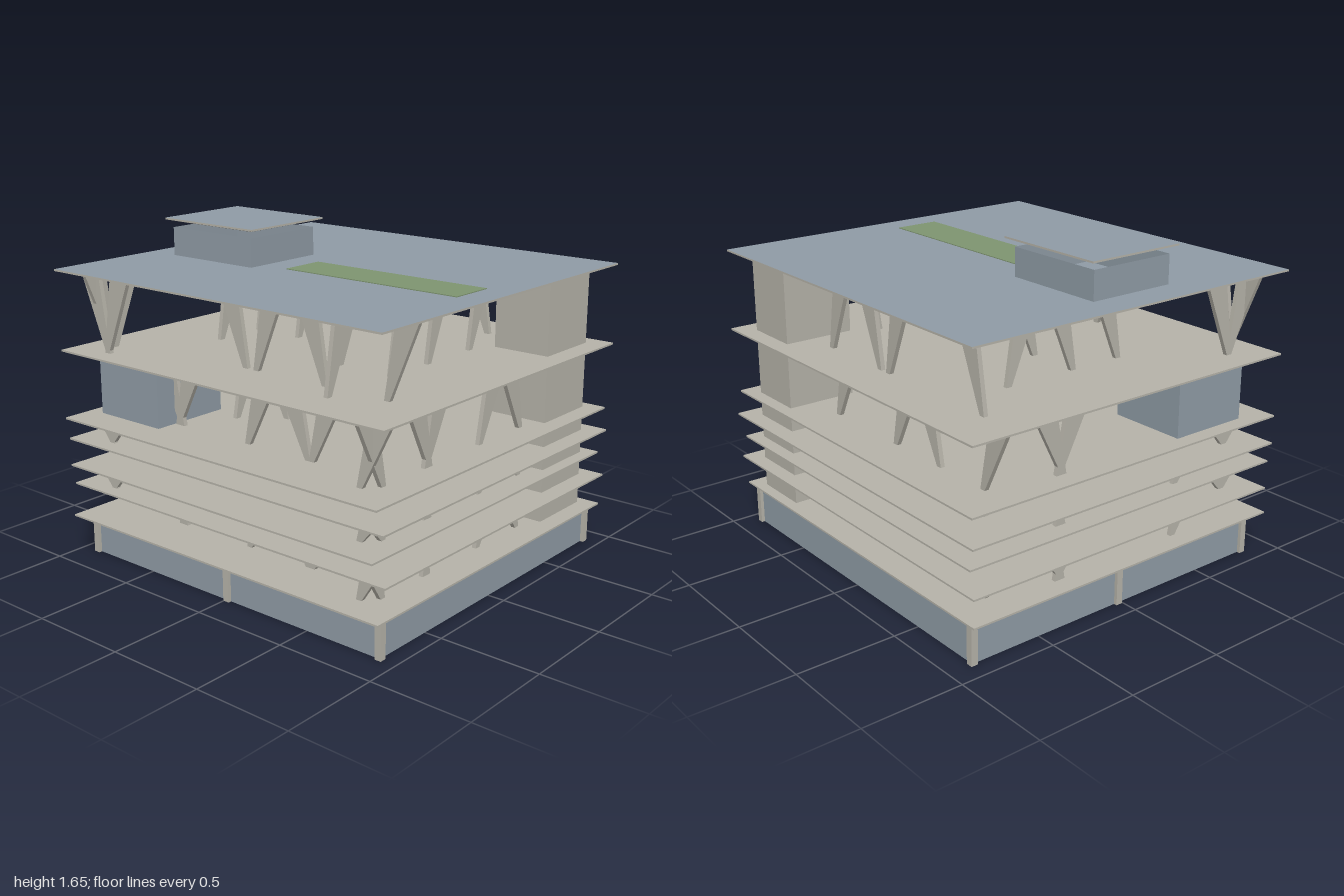
import * as THREE from 'three';

const mat = (name, color, side = THREE.FrontSide) => {
  const m = new THREE.MeshStandardMaterial({ color, side });
  m.name = name;
  return m;
};

export function createModel() {
  const concrete = mat('concrete', 0xb5b2a8, THREE.DoubleSide);
  const glass = mat('blueGrey', 0x8f9ba5, THREE.DoubleSide);
  const green = mat('green', 0x7e9470);
  const model = new THREE.Group();
  model.name = 'building';

  const add = (name, geo, material, parent = model) => {
    const mesh = new THREE.Mesh(geo, material);
    mesh.name = name;
    parent.add(mesh);
    return mesh;
  };
  const box = (name, x0, x1, y0, y1, z0, z1, material, parent) => {
    const geo = new THREE.BoxGeometry(x1 - x0, y1 - y0, z1 - z0);
    geo.translate((x0 + x1) / 2, (y0 + y1) / 2, (z0 + z1) / 2);
    return add(name, geo, material, parent);
  };

  // Four upright walls without top or bottom
  const walls = (name, x0, x1, y0, y1, z0, z1, material) => {
    const group = new THREE.Group();
    group.name = name;
    model.add(group);
    const cx = (x0 + x1) / 2, cz = (z0 + z1) / 2;
    const sides = [[cx, z1, 0, x1 - x0], [cx, z0, Math.PI, x1 - x0],
      [x1, cz, Math.PI / 2, z1 - z0], [x0, cz, -Math.PI / 2, z1 - z0]];
    for (const [x, z, turn, width] of sides) {
      const wall = add('wall', new THREE.PlaneGeometry(width, y1 - y0), material, group);
      wall.position.set(x, (y0 + y1) / 2, z);
      wall.rotation.y = turn;
    }
  };

  // Thin slab: narrow upright edge over a tapering underside
  const slab = (name, x0, x1, z0, z1, top, topMaterial = concrete) => {
    const group = new THREE.Group();
    group.name = name;
    model.add(group);
    const edge = [0, 0, 1, 0, 0, 0].map(t => (t ? topMaterial : concrete));
    box('slabEdge', x0, x1, top - 0.009, top, z0, z1, edge, group);
    const soffit = box('slabSoffit', x0, x1, top - 0.024, top - 0.009, z0, z1, concrete, group);
    const p = soffit.geometry.attributes.position;
    const inset = 0.06;
    for (let i = 0; i < p.count; i++) {
      if (p.getY(i) > top - 0.015) continue;
      p.setX(i, p.getX(i) < 0 && p.getX(i) < (x0 + x1) / 2 ? x0 + inset : x1 - inset);
      p.setZ(i, p.getZ(i) < (z0 + z1) / 2 ? z0 + inset : z1 - inset);
    }
    soffit.geometry.computeVertexNormals();
  };

  // Floors: x0, x1, z0, z1, top height
  const floors = [
    [-0.96, 0.975, -0.906, 0.92, 0.212],
    [-0.987, 0.98, -0.926, 0.88, 0.365],
    [-0.95, 0.95, -0.916, 0.93, 0.483],
    [-0.997, 0.98, -0.937, 0.895, 0.602],
    [-0.965, 0.976, -0.916, 0.937, 0.724],
    [-1.0, 0.99, -0.937, 0.91, 1.056],
    [-0.987, 0.997, -0.926, 0.937, 1.459],
  ];
  floors.forEach((f, i) =>
    i < 6 ? slab('floorSlab', ...f) : slab('roofSlab', ...f, glass));

  // Base walls and posts
  walls('baseWalls', -0.9, 0.912, 0, 0.19, -0.87, 0.823, glass);
  const posts = [[-0.9, 0.823], [0.913, 0.823], [-0.9, -0.87], [0.913, -0.87],
    [0.015, 0.823], [-0.9, -0.023]];
  for (const [x, z] of posts)
    box('basePost', x - 0.017, x + 0.017, 0, 0.19, z - 0.017, z + 0.017, concrete);

  // Corner core, lower room, penthouse and planted strip
  walls('core', 0.585, 0.885, 0, 1.437, -0.85, -0.49, concrete);
  walls('lowerRoom', -0.885, -0.48, 0.722, 1.004, 0.35, 0.77, glass);
  box('lowerRoomTop', -0.885, -0.48, 0.999, 1.004, 0.35, 0.77, glass);
  walls('penthouseWalls', -0.82, -0.29, 1.458, 1.6, -0.143, 0.31, glass);
  slab('penthouseRoof', -0.85, -0.257, -0.178, 0.337, 1.648, glass);
  box('plantedStrip', -0.135, 0.85, 1.457, 1.463, 0, 0.23, green);

  // Slanted column, narrow at the foot and wide at the head
  const column = (foot, dir, y0, y1, depth, sideways, parent) => {
    const tall = y1 - y0 > 0.2;
    const head = foot + dir * (tall ? 0.11 : 0.055);
    const wt = tall ? 0.0625 : 0.045, wb = 0.014;
    const shape = new THREE.Shape([[foot - wb, y0], [foot + wb, y0], [head + wt, y1], [head - wt, y1]]
      .map(([a, b]) => new THREE.Vector2(a, b)));
    const geo = new THREE.ExtrudeGeometry(shape, { depth: 0.022, bevelEnabled: false });
    geo.translate(0, 0, -0.011);
    if (sideways) geo.rotateY(-Math.PI / 2);
    const mesh = add('slantedColumn', geo, concrete, parent);
    mesh.position.set(sideways ? depth : 0, 0, sideways ? 0 : depth);
  };

  // Two alternating storey patterns; each entry is foot, lean, depth
  const patterns = [
    { // V shapes near the middle of each half
      x: [[-0.43, -1, 0.65], [-0.46, 1, 0.65], [-0.12, -1, 0.25], [0, 1, 0.65], [0.37, -1, 0.65],
        [0.39, 1, 0.65], [0.76, 1, 0.77],
        [-0.77, -1, -0.7], [-0.46, 1, -0.7], [-0.12, -1, -0.7], [0.37, -1, -0.7]],
      z: [[0.7, 1, 0.82], [0.37, 1, 0.82], [0.4, -1, 0.82], [-0.02, -1, 0.82], [-0.36, 1, 0.82],
        [0.37, 1, -0.85], [0.4, -1, -0.32], [-0.36, 1, -0.85], [-0.33, -1, -0.85], [0, -1, 0.01]],
    },
    { // V shapes at the outer corners
      x: [[-0.77, -1, 0.8], [-0.78, 1, 0.8], [-0.075, -1, 0.575], [-0.01, 1, 0.575],
        [0.405, -1, 0.575], [0.75, 1, 0.575],
        [-0.77, 1, -0.7], [-0.075, -1, -0.7], [-0.01, 1, -0.7], [0.405, -1, -0.7]],
      z: [[0.7, -1, 0.52], [0.26, -1, 0.52], [-0.02, -1, 0.52], [-0.36, -1, 0.52],
        [0.7, 1, -0.85], [0.7, -1, -0.85], [0.26, -1, -0.555], [-0.02, -1, -0.555],
        [-0.4, 1, -0.555], [0.26, -1, 0.22], [-0.02, -1, -0.285]],
    },
  ];
  for (let i = 0; i < 6; i++) {
    const storey = new THREE.Group();
    storey.name = 'storeyColumns';
    model.add(storey);
    const y0 = floors[i][4] - 0.003, y1 = floors[i + 1][4] - 0.02;
    const { x, z } = patterns[i % 2];
    for (const [foot, dir, depth] of x) column(foot, dir, y0, y1, depth, false, storey);
    for (const [foot, dir, depth] of z) column(foot, dir, y0, y1, depth, true, storey);
  }
  return model;
}
